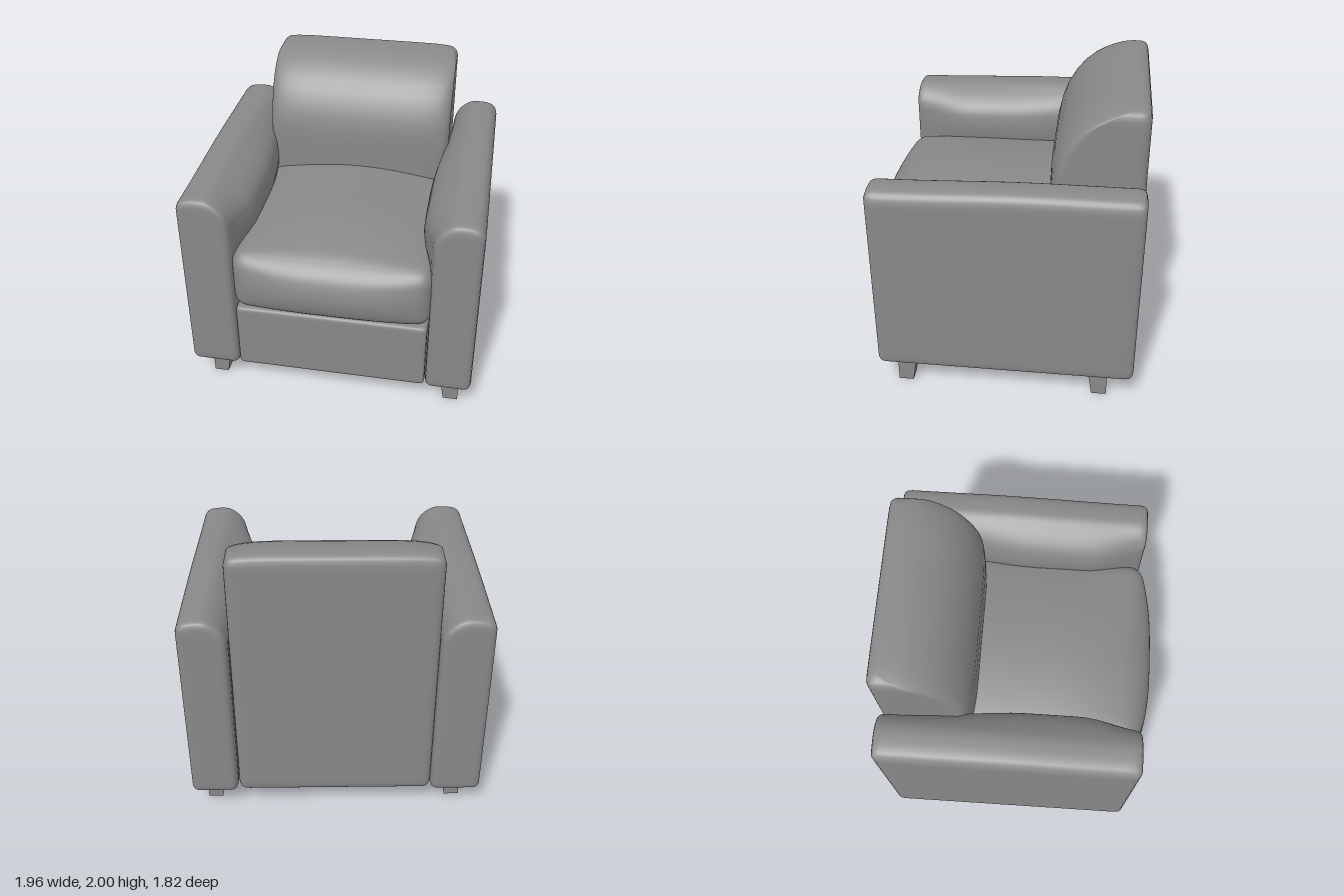
import * as THREE from 'three';
import { mergeVertices } from 'three/addons/utils/BufferGeometryUtils.js';

const { clamp, smoothstep, lerp } = THREE.MathUtils;

export function createModel() {
  const group = new THREE.Group();
  group.name = 'armchair';
  const material = new THREE.MeshStandardMaterial({ color: 0x888888 });

  // Rounded block between two corners, bent by a rule on each vertex
  function softBlock(name, min, max, radius, bend) {
    const lo = new THREE.Vector3(...min), hi = new THREE.Vector3(...max);
    const mid = lo.clone().add(hi).multiplyScalar(0.5);
    const half = hi.clone().sub(lo).multiplyScalar(0.5);
    const inner = half.clone().subScalar(radius);
    let geo = new THREE.BoxGeometry(2, 2, 2, 26, 26, 26);
    geo.deleteAttribute('uv');
    geo.deleteAttribute('normal');
    const pos = geo.attributes.position;
    const p = new THREE.Vector3(), core = new THREE.Vector3();
    for (let i = 0; i < pos.count; i++) {
      p.fromBufferAttribute(pos, i);
      // crowd the grid towards the edges so the rounding stays smooth
      for (const k of ['x', 'y', 'z']) p[k] = Math.sin(p[k] * Math.PI / 2) * half[k];
      core.copy(p).clamp(inner.clone().negate(), inner);
      p.sub(core).normalize().multiplyScalar(radius).add(core).add(mid);
      if (bend) bend(p, mid, half);
      pos.setXYZ(i, p.x, p.y, p.z);
    }
    geo = mergeVertices(geo, 1e-5);
    geo.computeVertexNormals();
    const mesh = new THREE.Mesh(geo, material);
    mesh.name = name;
    group.add(mesh);
  }

  // Base panel under the seat
  softBlock('base', [-0.64, 0.2, -0.4], [0.66, 0.7, 0.8], 0.03);

  // Seat cushion: crowned top, bulging front
  softBlock('seatCushion', [-0.65, 0.71, -0.4], [0.682, 1.15, 0.82], 0.1, (p, mid, half) => {
    const u = clamp(Math.abs(p.x - mid.x) / half.x, 0, 1);
    const front = smoothstep(p.z, 0.55, 0.8);
    const crown = 0.095 * (1 - u * u) * smoothstep(p.y, 0.9, 1.15);
    const belly = Math.max(0, 1 - ((p.y - 0.92) / 0.22) ** 2);
    p.y += crown * (1 - clamp((p.z - 0.2) / 0.62, 0, 1) ** 2);
    p.z += 0.09 * belly * (1 - u ** 3) * front;
  });

  // Backrest: upright rear, front rolling over to the top
  softBlock('backrest', [-0.643, 0.2, -0.91], [0.657, 2, -0.295], 0.06, (p, mid, half) => {
    const u = clamp(Math.abs(p.x - mid.x) / half.x, 0, 1);
    const s = clamp((p.y - 1.45) / 0.55, 0, 1);
    const depth = (0.04 + 0.515 * Math.sqrt(1 - s * s)) / 0.555;
    const foot = lerp(0.84, 1, smoothstep(p.y, 0.6, 1.1));
    const ahead = Math.max(0, p.z + 0.85);
    p.z += ahead * (depth * foot - 1) - 0.05 * u ** 6 * ahead / 0.555;
    p.y -= 0.02 * u ** 8 * smoothstep(p.y, 1.8, 2);
  });

  // Arms: padded on the inside, rising slightly to the rear
  for (const [name, side, innerX, outerX] of [['leftArm', 1, 0.665, 0.978], ['rightArm', -1, 0.642, 0.982]]) {
    const xs = [side * innerX, side * outerX].sort((a, b) => a - b);
    softBlock(name, [xs[0], 0.19, -0.91], [xs[1], 1.53, 0.81], 0.05, (p, mid, half) => {
      const t = (p.x - mid.x) * side / half.x;
      const inward = clamp(-t, 0, 1);
      const top = smoothstep(p.y, 1.15, 1.5);
      const along = (1 - smoothstep(p.z, 0.4, 0.83)) * smoothstep(p.z, -0.8, 0.05);
      p.y += top * (0.03 * (1 - smoothstep(p.z, -0.3, 0.8)) - 0.12 * inward ** 2 - 0.04 * Math.max(0, t) ** 3);
      const pad = Math.max(0, 1 - ((p.y - 1.25) / 0.27) ** 2);
      p.x -= side * 0.09 * pad * along * inward;
    });
  }

  // Legs: square, tapered towards the outer corner
  for (const [sx, x] of [[1, 0.895], [-1, -0.87]]) {
    for (const [sz, z] of [[1, 0.69], [-1, -0.74]]) {
      const geo = new THREE.BoxGeometry(0.135, 0.22, 0.135);
      geo.translate(-sx * 0.0675, 0.11, -sz * 0.0675);
      const pos = geo.attributes.position;
      for (let i = 0; i < pos.count; i++) {
        if (pos.getY(i) < 0.1) pos.setXYZ(i, pos.getX(i) * 0.74, 0, pos.getZ(i) * 0.74);
      }
      geo.computeVertexNormals();
      const leg = new THREE.Mesh(geo, material);
      leg.name = (sz > 0 ? 'front' : 'rear') + (sx > 0 ? 'Left' : 'Right') + 'Leg';
      leg.position.set(x, 0, z);
      group.add(leg);
    }
  }
  return group;
}
